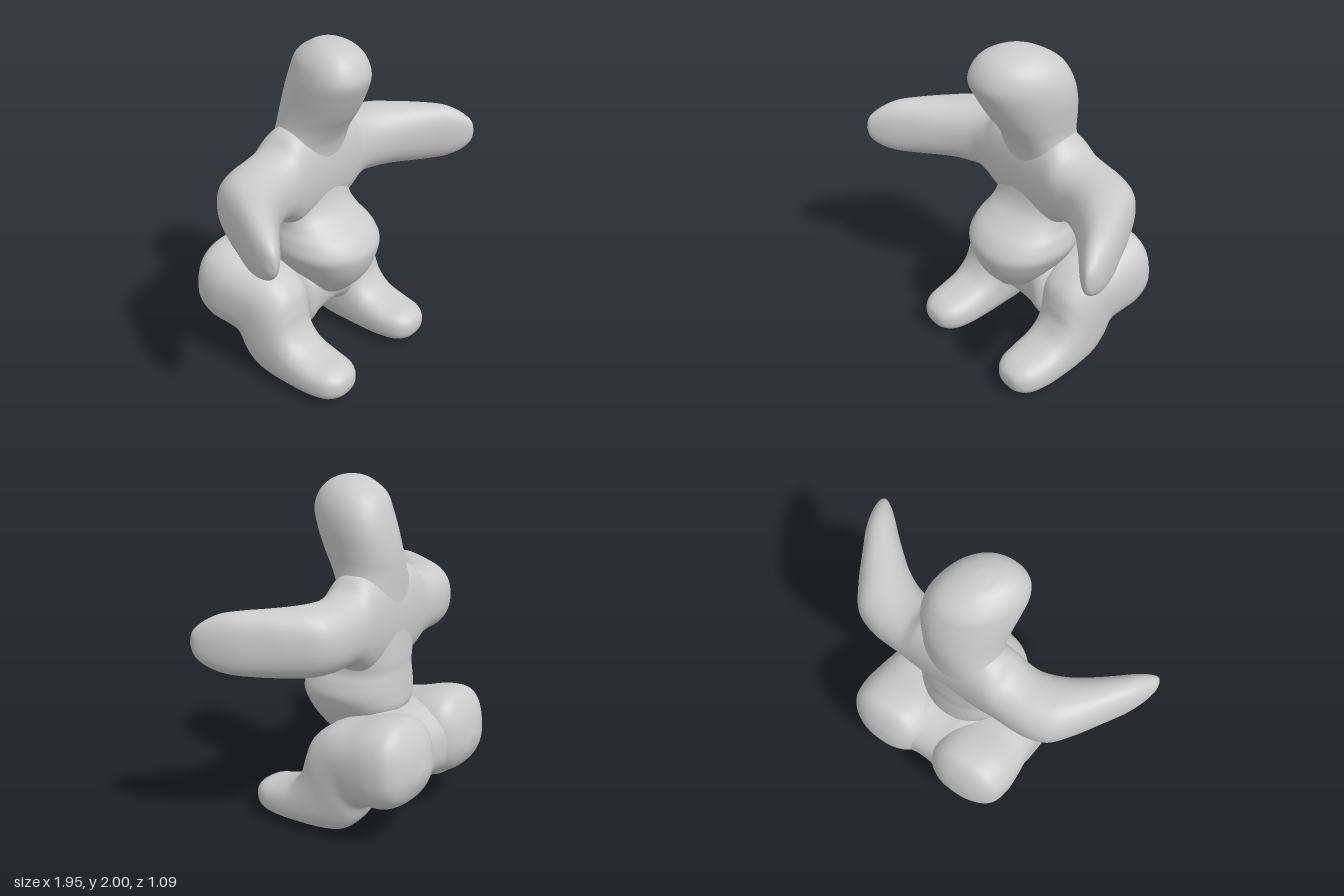
import * as THREE from 'three';
import { mergeVertices } from 'three/addons/utils/BufferGeometryUtils.js';

const V = (x, y, z) => new THREE.Vector3(x, y, z);
const material = new THREE.MeshStandardMaterial({ color: 0xcccccc });

// Smooth closed skin through cross-sections. Each section is [a, b, w]:
// two opposite rim points and the half-axis across them.
// power 2 gives ellipses, higher values are boxier.
function loft(name, sections, power = 2.2, sides = 48, steps = 6) {
  const rows = (sections.length - 1) * steps;
  const soft = (t) => Math.sign(t) * Math.abs(t) ** (2 / power);
  const positions = new Float32Array((rows + 1) * sides * 3);
  for (let j = 0; j < sides; j++) {
    const angle = (j / sides) * Math.PI * 2;
    const rail = new THREE.CatmullRomCurve3(sections.map(([a, b, w]) =>
      a.clone().add(b).multiplyScalar(0.5)
        .addScaledVector(b.clone().sub(a), 0.5 * soft(Math.sin(angle)))
        .addScaledVector(w, soft(Math.cos(angle)))));
    for (let i = 0; i <= rows; i++) {
      rail.getPoint(i / rows).toArray(positions, (i * sides + j) * 3);
    }
  }
  const index = [];
  for (let i = 0; i < rows; i++) {
    for (let j = 0; j < sides; j++) {
      const k = (j + 1) % sides;
      const a = i * sides + j, b = i * sides + k;
      index.push(a, b, b + sides, a, b + sides, a + sides);
    }
  }
  // Turn the faces outward if the enclosed volume is negative
  const at = (n) => V().fromArray(positions, n * 3);
  let volume = 0;
  for (let i = 0; i < index.length; i += 3) {
    volume += at(index[i]).dot(at(index[i + 1]).cross(at(index[i + 2])));
  }
  if (volume < 0) index.reverse();

  let geometry = new THREE.BufferGeometry();
  geometry.setAttribute('position', new THREE.BufferAttribute(positions, 3));
  geometry.setIndex(index);
  geometry = mergeVertices(geometry, 1e-5);
  geometry.computeVertexNormals();
  const mesh = new THREE.Mesh(geometry, material);
  mesh.name = name;
  return mesh;
}

// Head, chest and belly: y, xMin, xMax, zBack, zFront, turn of the face
function torsoAndHead() {
  const rings = [
    [2.0, -0.02, -0.02, 0.14, 0.14, 0],
    [1.99, -0.09, 0.06, 0.05, 0.22, -0.02],
    [1.955, -0.15, 0.14, -0.03, 0.295, -0.04],
    [1.9, -0.19, 0.195, -0.1, 0.345, -0.05],
    [1.82, -0.21, 0.23, -0.14, 0.37, -0.06],
    [1.72, -0.21, 0.245, -0.17, 0.335, -0.05],
    [1.6, -0.205, 0.24, -0.19, 0.275, -0.03],
    [1.5, -0.21, 0.235, -0.195, 0.21, -0.01],
    [1.4, -0.235, 0.25, -0.195, 0.16, 0],
    [1.2, -0.27, 0.27, -0.195, 0.135, 0],
    [1.05, -0.27, 0.27, -0.205, 0.155, 0],
    [0.98, -0.265, 0.265, -0.21, 0.195, 0],
    [0.92, -0.27, 0.27, -0.21, 0.27, 0],
    [0.86, -0.295, 0.295, -0.215, 0.355, 0],
    [0.78, -0.31, 0.31, -0.22, 0.405, 0],
    [0.7, -0.275, 0.275, -0.22, 0.4, 0],
    [0.6, -0.21, 0.21, -0.16, 0.36, 0],
    [0.5, -0.13, 0.13, -0.05, 0.275, 0],
    [0.44, -0.06, 0.06, 0.05, 0.2, 0],
    [0.42, 0, 0, 0.13, 0.13, 0],
  ];
  return loft('torsoAndHead', rings.map(([y, x0, x1, z0, z1, turn]) => {
    const cx = (x0 + x1) / 2;
    return [V(cx - turn, y, z0), V(cx + turn, y, z1), V((x1 - x0) / 2, 0, 0)];
  }));
}

// Both arms in one sweep: outer x, z, inner x, z, yMin, yMax
function arms() {
  const half = [
    [0.13, -0.2, 0.13, 0.15, 0.91, 1.52],
    [0.24, -0.2, 0.24, 0.15, 0.94, 1.49],
    [0.32, -0.2, 0.31, 0.15, 0.995, 1.425],
    [0.42, -0.2, 0.39, 0.15, 1.015, 1.4],
    [0.53, -0.19, 0.46, 0.17, 1.01, 1.395],
    [0.65, -0.145, 0.56, 0.22, 1.01, 1.395],
    [0.75, -0.02, 0.65, 0.285, 1.015, 1.39],
    [0.84, 0.13, 0.75, 0.365, 1.025, 1.385],
    [0.92, 0.27, 0.83, 0.435, 1.045, 1.37],
    [0.965, 0.39, 0.895, 0.485, 1.09, 1.325],
    [0.975, 0.465, 0.94, 0.508, 1.145, 1.275],
    [0.962, 0.505, 0.962, 0.505, 1.21, 1.21],
  ];
  const side = (s) => half.map(([ox, oz, ix, iz, y0, y1]) => {
    const cy = (y0 + y1) / 2;
    return [V(s * ox, cy, oz), V(s * ix, cy, iz), V(0, (y1 - y0) / 2, 0)];
  });
  return loft('arms', [...side(-1).reverse(), ...side(1)], 2.3);
}

// Foot, leg and buttock: lower z, y, upper z, y, xMin, xMax
function leg(name, s) {
  const rings = [
    [0.545, 0.115, 0.545, 0.115, 0.36, 0.36],
    [0.525, 0.055, 0.53, 0.17, 0.28, 0.44],
    [0.465, 0.02, 0.47, 0.21, 0.225, 0.495],
    [0.35, 0.005, 0.36, 0.235, 0.2, 0.52],
    [0.2, 0.002, 0.245, 0.285, 0.195, 0.525],
    [0.05, 0.005, 0.185, 0.37, 0.19, 0.525],
    [-0.08, 0.03, 0.165, 0.46, 0.17, 0.525],
    [-0.16, 0.1, 0.13, 0.56, 0.13, 0.53],
    [-0.21, 0.195, 0.02, 0.65, 0.08, 0.535],
    [-0.28, 0.22, -0.14, 0.695, 0.04, 0.55],
    [-0.38, 0.235, -0.3, 0.74, 0.03, 0.555],
    [-0.47, 0.29, -0.42, 0.735, 0.06, 0.525],
    [-0.525, 0.39, -0.5, 0.63, 0.15, 0.42],
    [-0.54, 0.48, -0.54, 0.48, 0.28, 0.28],
  ];
  return loft(name, rings.map(([z0, y0, z1, y1, x0, x1]) => {
    const cx = s * (x0 + x1) / 2;
    return [V(cx, y0, z0), V(cx, y1, z1), V((x1 - x0) / 2, 0, 0)];
  }), 2.5);
}

// Pelvis bridging the legs: x, yMin, yMax, zBack, zFront
function pelvis() {
  const half = [
    [0.05, 0.243, 0.69, -0.465, 0.165],
    [0.12, 0.225, 0.695, -0.475, 0.165],
    [0.2, 0.19, 0.68, -0.47, 0.16],
    [0.26, 0.3, 0.6, -0.35, 0.06],
    [0.3, 0.45, 0.45, -0.15, -0.15],
  ];
  const side = (s) => half.map(([x, y0, y1, z0, z1]) => {
    const cz = (z0 + z1) / 2;
    return [V(s * x, y0, cz), V(s * x, y1, cz), V(0, 0, (z1 - z0) / 2)];
  });
  return loft('pelvis', [...side(-1).reverse(), ...side(1)], 2.6);
}

export function createModel() {
  const model = new THREE.Group();
  model.name = 'figure';
  model.add(torsoAndHead(), arms(), pelvis(), leg('leftLeg', 1), leg('rightLeg', -1));
  return model;
}
